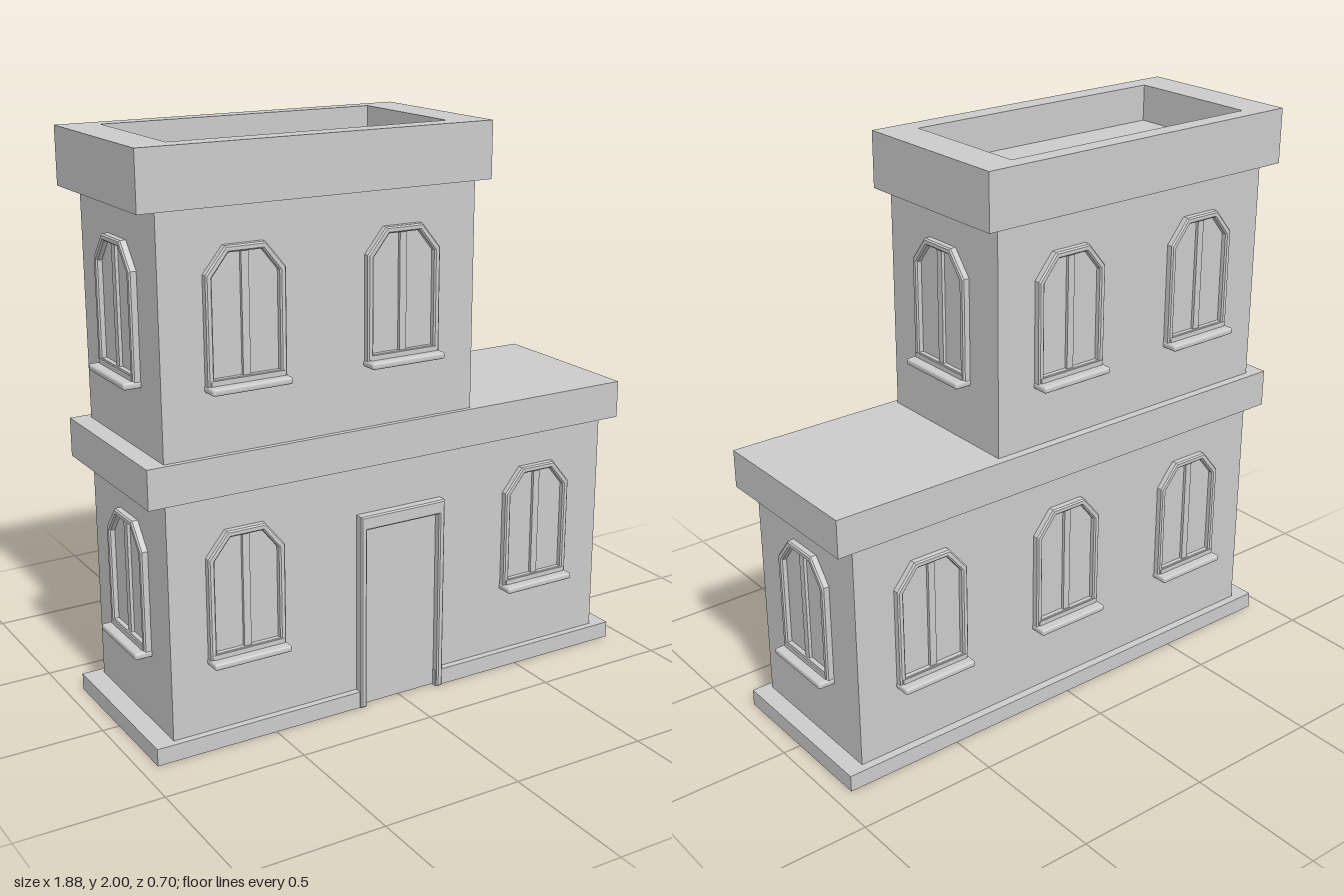
import * as THREE from 'three';
import { RoundedBoxGeometry } from 'three/addons/geometries/RoundedBoxGeometry.js';

const material = new THREE.MeshStandardMaterial({ color: 0xcccccc, flatShading: true });

function add(parent, name, geometry) {
  const mesh = new THREE.Mesh(geometry, material);
  mesh.name = name;
  parent.add(mesh);
  return mesh;
}

// Box given by its minimum and maximum corners
function block(parent, name, [x0, y0, z0], [x1, y1, z1]) {
  const mesh = add(parent, name, new THREE.BoxGeometry(x1 - x0, y1 - y0, z1 - z0));
  mesh.position.set((x0 + x1) / 2, (y0 + y1) / 2, (z0 + z1) / 2);
  return mesh;
}

const shapeOf = (points) => new THREE.Shape(points.map(([x, y]) => new THREE.Vector2(x, y)));

// Flat plan (x, z) raised from y0 by a height
function slab(parent, name, shape, y0, height) {
  const geometry = new THREE.ExtrudeGeometry(shape, { depth: height, bevelEnabled: false });
  geometry.rotateX(-Math.PI / 2);
  add(parent, name, geometry).position.y = y0;
}

// Window outline with clipped upper corners, inset by d
function windowOutline(d) {
  const w = 0.14 - d, top = 0.46 - d, shoulder = 0.375 - d * 0.5, t = 0.07 - d * 0.5;
  return shapeOf([[-w, 0.02 + d], [w, 0.02 + d], [w, shoulder], [t, top], [-t, top], [-w, shoulder]]);
}

// Window facing +z, with its wall plane at z = 0 and sill bottom at y = 0
function createWindow() {
  const group = new THREE.Group();
  group.name = 'window';
  const frame = windowOutline(0.005);
  frame.holes.push(windowOutline(0.017));
  add(group, 'windowFrame', new THREE.ExtrudeGeometry(frame, {
    depth: 0.02, bevelThickness: 0.005, bevelSize: 0.005, bevelSegments: 1,
  }));
  add(group, 'windowPane', new THREE.ShapeGeometry(windowOutline(0.012))).position.z = 0.004;
  block(group, 'mullion', [-0.013, 0.03, 0], [0.013, 0.445, 0.015]);
  block(group, 'bottomRail', [-0.13, 0.02, 0], [0.13, 0.04, 0.027]);
  const sill = add(group, 'windowSill', new RoundedBoxGeometry(0.285, 0.023, 0.07, 2, 0.008));
  sill.position.set(0, 0.0115, 0.025);
  return group;
}

export function createModel() {
  const house = new THREE.Group();
  house.name = 'house';

  // Plinth, notched at the doorway
  slab(house, 'plinth', shapeOf([
    [-0.94, -0.315], [-0.145, -0.315], [-0.145, -0.295], [0.145, -0.295],
    [0.145, -0.315], [0.935, -0.315], [0.935, 0.32], [-0.94, 0.32],
  ]), 0, 0.06);

  // Storeys and the band between them
  block(house, 'lowerWalls', [-0.87, 0.05, -0.29], [0.87, 0.9, 0.29]);
  block(house, 'lowerCornice', [-0.935, 0.88, -0.32], [0.94, 1.015, 0.308]);
  block(house, 'upperWalls', [-0.87, 1, -0.29], [0.29, 1.82, 0.29]);

  // Roof parapet around a sunken roof
  const parapet = shapeOf([[-0.935, -0.308], [0.345, -0.308], [0.345, 0.32], [-0.935, 0.32]]);
  parapet.holes.push(new THREE.Path([[-0.8, -0.235], [-0.8, 0.258], [0.21, 0.258], [0.21, -0.235]]
    .map(([x, y]) => new THREE.Vector2(x, y))));
  slab(house, 'parapet', parapet, 1.805, 0.195);
  block(house, 'roofFloor', [-0.81, 1.81, -0.265], [0.22, 1.87, 0.245]);

  // Door and its surround
  const door = new THREE.Group();
  door.name = 'door';
  const surround = shapeOf([
    [-0.165, 0.005], [-0.152, 0.005], [-0.152, 0.665], [0.152, 0.665],
    [0.152, 0.005], [0.165, 0.005], [0.165, 0.705], [-0.165, 0.705],
  ]);
  add(door, 'doorFrame', new THREE.ExtrudeGeometry(surround, {
    depth: 0.04, bevelThickness: 0.005, bevelSize: 0.005, bevelSegments: 1,
  })).position.z = 0.28;
  block(door, 'doorPanel', [-0.15, 0.005, 0.27], [0.15, 0.665, 0.298]);
  house.add(door);

  // Windows: x, sill height, z, turn about y
  const low = 0.3, high = 1.225, q = Math.PI / 2;
  const places = [
    [-0.597, low, 0.29, 0], [0.58, low, 0.29, 0],
    [-0.58, high, 0.29, 0], [0, high, 0.29, 0],
    [-0.58, low, -0.29, 2 * q], [0, low, -0.29, 2 * q], [0.58, low, -0.29, 2 * q],
    [-0.58, high, -0.29, 2 * q], [0, high, -0.29, 2 * q],
    [-0.87, low, 0, -q], [-0.87, high, 0, -q],
    [0.87, low, 0, q], [0.29, high, 0, q],
  ];
  for (const [x, y, z, turn] of places) {
    const unit = createWindow();
    unit.position.set(x, y, z);
    unit.rotation.y = turn;
    house.add(unit);
  }
  return house;
}
